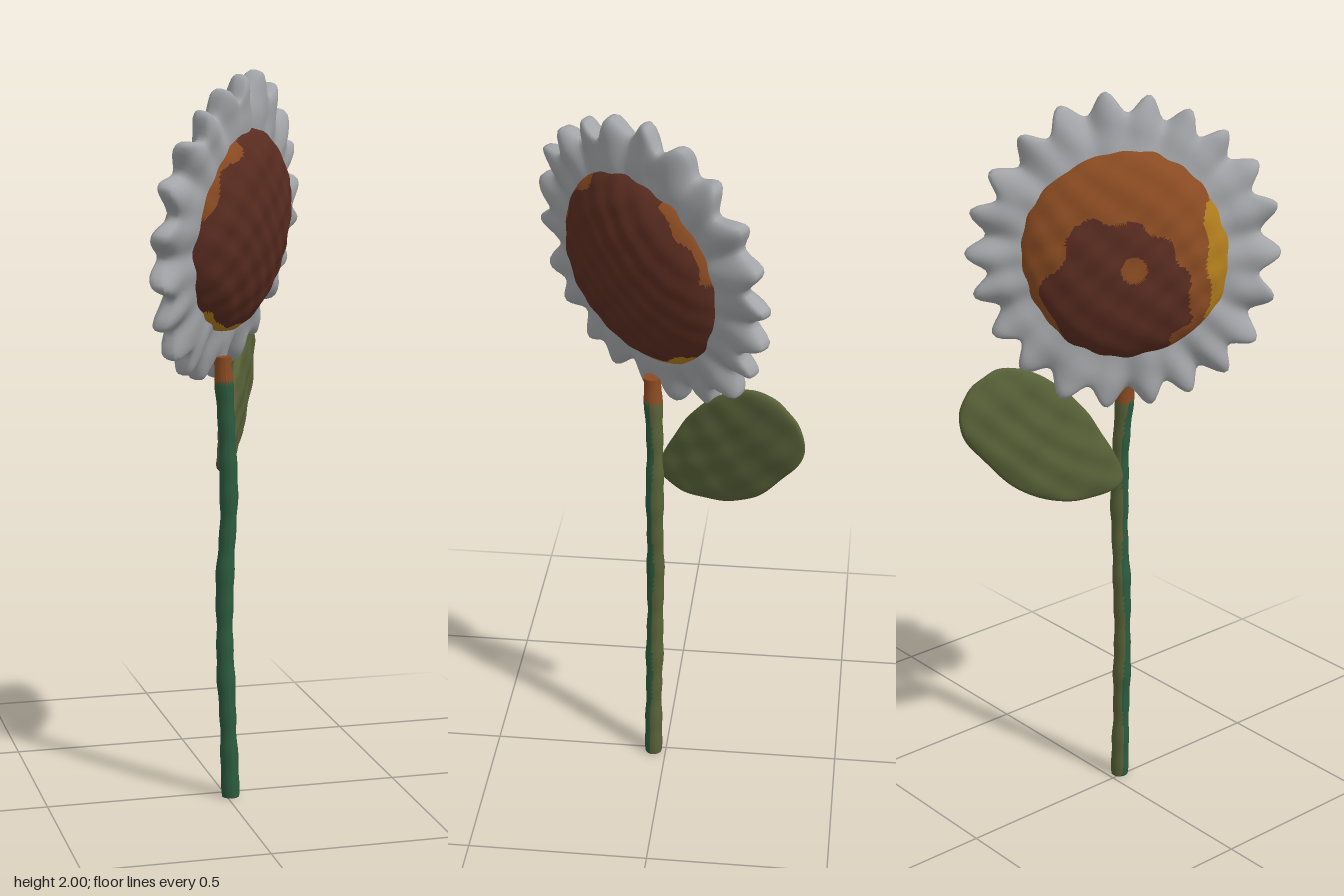
import * as THREE from 'three';
import { mergeVertices } from 'three/addons/utils/BufferGeometryUtils.js';

const mat = (name, color) => {
  const m = new THREE.MeshStandardMaterial({ color });
  m.name = name;
  return m;
};

// Gentle hammered bumps
const lumps = (a, b, f) =>
  Math.sin(f * a + 2 * Math.sin(9 * b)) * Math.sin(f * 1.1 * b + 2 * Math.sin(11 * a));

// Closed cushion facing +z: place(angle, r, h) moves each point, with r = 0..1
// from centre to rim and h = 1..-1 from front to back
function cushion(around, across, place) {
  const geo = new THREE.SphereGeometry(1, around, across);
  const pos = geo.attributes.position, uv = geo.attributes.uv;
  for (let i = 0; i < pos.count; i++) {
    const h = pos.getY(i);
    const r = Math.sqrt(Math.max(0, 1 - h * h));
    // the poles carry offset u values, which is harmless at r = 0
    const angle = uv.getX(i) * Math.PI * 2 - Math.PI / 2;
    pos.setXYZ(i, ...place(angle, r, h));
  }
  geo.deleteAttribute('normal');
  geo.deleteAttribute('uv');
  const merged = mergeVertices(geo, 1e-5);
  merged.computeVertexNormals();
  return merged;
}

// Sorts the triangles into material groups by their centre point
function paint(geo, count, choose) {
  const pos = geo.attributes.position, idx = geo.index.array;
  const lists = Array.from({ length: count }, () => []);
  const c = new THREE.Vector3(), p = new THREE.Vector3();
  for (let i = 0; i < idx.length; i += 3) {
    c.set(0, 0, 0);
    for (let k = 0; k < 3; k++) c.add(p.fromBufferAttribute(pos, idx[i + k]));
    c.divideScalar(3);
    lists[choose(c)].push(idx[i], idx[i + 1], idx[i + 2]);
  }
  geo.setIndex(lists.flat());
  geo.clearGroups();
  let start = 0;
  lists.forEach((list, m) => {
    geo.addGroup(start, list.length, m);
    start += list.length;
  });
  return geo;
}

export function createModel() {
  const model = new THREE.Group();
  model.name = 'flower';

  const grey = mat('petalGrey', 0xa3a5a8);
  const brown = mat('seedBrown', 0x592c20);
  const orange = mat('rustOrange', 0x8a4b22);
  const yellow = mat('amberYellow', 0xb07c1c);
  const green = mat('stemGreen', 0x2c5b3e);
  const olive = mat('leafOlive', 0x586138);

  const add = (parent, name, geo, material) => {
    const mesh = new THREE.Mesh(geo, material);
    mesh.name = name;
    parent.add(mesh);
    return mesh;
  };

  // Head, turned aside and nodding slightly
  const head = new THREE.Group();
  head.name = 'head';
  head.position.set(0, 1.585, 0.04);
  head.rotation.set(0.15, 0.895, 0, 'YXZ');
  model.add(head);

  // Ring of scalloped petals
  const petals = 22;
  add(head, 'petals', cushion(220, 40, (t, r, h) => {
    const wave = Math.cos(petals * t + 0.5 * Math.sin(3 * t));
    const edge = r ** 5;
    const R = r * (0.393 + edge * (0.027 * wave + 0.006 * Math.sin(5 * t + 1)));
    const a = R * Math.cos(t), b = R * Math.sin(t);
    const thick = 0.05 * Math.sign(h) * Math.abs(h) ** 0.6 * (1 + 0.22 * wave * edge);
    const ripple = edge * (0.012 * Math.sin(petals / 2 * t) + 0.008 * Math.sin(3 * t + 2));
    return [a, b, thick + ripple + 0.003 * lumps(a, b, 40)];
  }), grey);

  // Seed disc, domed on both sides
  const disc = cushion(120, 80, (t, r, h) => {
    const R = 0.283 * r * (1 + 0.012 * Math.sin(4 * t));
    const a = R * Math.cos(t), b = R * Math.sin(t);
    const depth = h > 0 ? 0.13 : 0.122;
    return [a, b, depth * Math.sign(h) * Math.abs(h) ** 0.85 + 0.0035 * lumps(a, b, 58)];
  });
  paint(disc, 3, ({ x, y, z }) => {
    const r = Math.hypot(x, y), n = 0.012 * lumps(x, y, 30);
    if (z > 0) {
      if (r + n < 0.258) return 0;
      if (y < -0.2) return 2;
      return Math.abs(x) > 0.12 && y > 0.05 ? 1 : 0;
    }
    if (x < -0.215 + n && y < 0.16) return 2;
    if (Math.hypot(x + 0.02, y + 0.03) < 0.035 && n > 0) return 1;
    return Math.hypot(x - 0.02, y + 0.095) < 0.19 + 2 * n ? 0 : 1;
  });
  add(head, 'seedDisc', disc, [brown, orange, yellow]);

  // Slightly crooked stem
  const H = 1.24;
  const path = new THREE.CatmullRomCurve3([
    [0.012, 0.036], [0.005, 0.035], [-0.003, 0.032], [-0.003, 0.03],
    [0.008, 0.03], [0.002, 0.03], [-0.012, 0.038],
  ].map(([x, z], i) => new THREE.Vector3(x, i * H / 6, z)));
  const stem = new THREE.CylinderGeometry(0.024, 0.024, H, 20, 80);
  stem.translate(0, H / 2, 0);
  paint(stem, 3, ({ x, y, z }) => {
    if (y > 1.17) return 2;
    return z > 0.35 * x - 0.003 + 0.003 * Math.sin(y * 17) ? 0 : 1;
  });
  const sp = stem.attributes.position;
  for (let i = 0; i < sp.count; i++) {
    const y = sp.getY(i), c = path.getPoint(Math.min(1, Math.max(0, y / H)));
    const s = 1 + 0.06 * Math.sin(y * 23) + 0.05 * Math.sin(y * 61);
    sp.setXYZ(i, c.x + sp.getX(i) * s, y, c.z + sp.getZ(i) * s);
  }
  stem.computeVertexNormals();
  add(model, 'stem', stem, [green, olive, orange]);

  // Single leaf reaching back: outline as (distance backwards, height)
  const outline = new THREE.CatmullRomCurve3([
    [0.15, 0.905], [0.25, 0.95], [0.33, 1.04], [0.385, 1.13], [0.365, 1.225], [0.28, 1.29],
    [0.2, 1.278], [0.1, 1.2], [0.02, 1.07], [-0.02, 0.95], [0.03, 0.91],
  ].map(([a, b]) => new THREE.Vector3(a, b, 0)), true);
  add(model, 'leaf', cushion(88, 40, (t, r, h) => {
    const p = outline.getPoint((t / (2 * Math.PI) + 1.25) % 1);
    const a = 0.18 + (p.x - 0.18) * r, b = 1.09 + (p.y - 1.09) * r;
    const c = 0.027 * Math.sign(h) * Math.abs(h) ** 0.7 + 0.004 * lumps(a, b, 48);
    return [c + 0.01 + 0.42 * a + 0.1 * (b - 1.1), b, -a];
  }), olive);

  return model;
}
